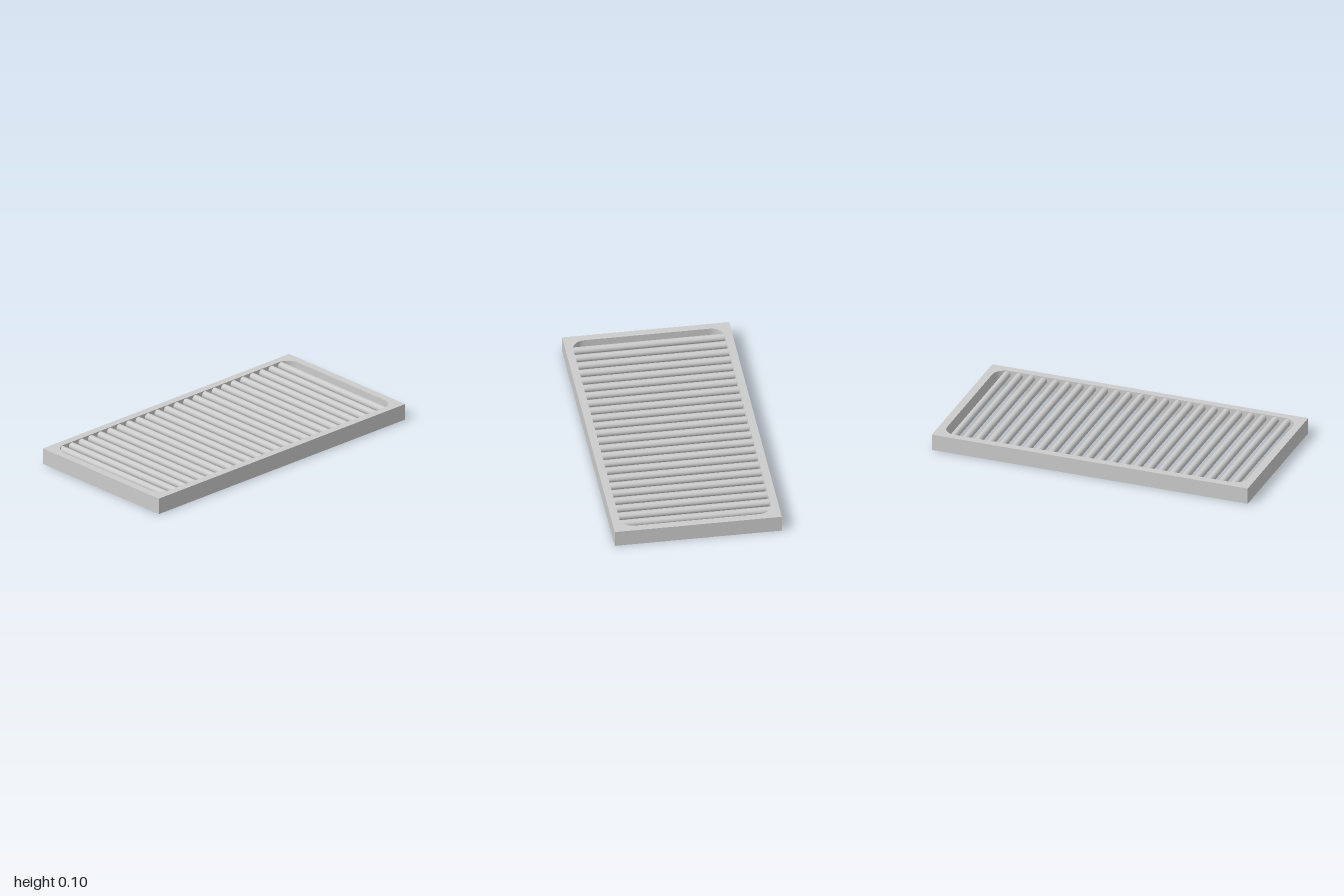
import * as THREE from 'three';

const material = new THREE.MeshStandardMaterial({ color: 0xcccccc });

// Rectangle with rounded corners, centred on the origin
function roundedRect(path, hw, hh, r) {
  path.moveTo(-hw + r, -hh);
  path.lineTo(hw - r, -hh);
  path.absarc(hw - r, -hh + r, r, -Math.PI / 2, 0);
  path.lineTo(hw, hh - r);
  path.absarc(hw - r, hh - r, r, 0, Math.PI / 2);
  path.lineTo(-hw + r, hh);
  path.absarc(-hw + r, hh - r, r, Math.PI / 2, Math.PI);
  path.lineTo(-hw, -hh + r);
  path.absarc(-hw + r, -hh + r, r, Math.PI, Math.PI * 1.5);
  return path;
}

export function createModel() {
  const group = new THREE.Group();
  group.name = 'grate';

  // Square-cornered frame with a rounded opening
  const outline = new THREE.Shape([
    new THREE.Vector2(-1, -0.5), new THREE.Vector2(1, -0.5),
    new THREE.Vector2(1, 0.5), new THREE.Vector2(-1, 0.5),
  ]);
  outline.holes.push(roundedRect(new THREE.Path(), 0.952, 0.453, 0.08));
  const frameGeometry = new THREE.ExtrudeGeometry(outline, {
    depth: 0.1, bevelEnabled: false, curveSegments: 12,
  });
  frameGeometry.rotateX(-Math.PI / 2);
  const frame = new THREE.Mesh(frameGeometry, material);
  frame.name = 'frame';
  group.add(frame);

  // Round bars running front to back, set into the upper half of the frame
  const bars = new THREE.Group();
  bars.name = 'bars';
  const count = 24, spacing = 0.0772, radius = 0.022;
  const barGeometry = new THREE.CylinderGeometry(radius, radius, 0.92, 24);
  barGeometry.rotateX(Math.PI / 2);
  for (let i = 0; i < count; i++) {
    const bar = new THREE.Mesh(barGeometry, material);
    bar.name = 'bar';
    bar.position.set((i - (count - 1) / 2) * spacing, 0.075, 0);
    bars.add(bar);
  }
  group.add(bars);
  return group;
}
